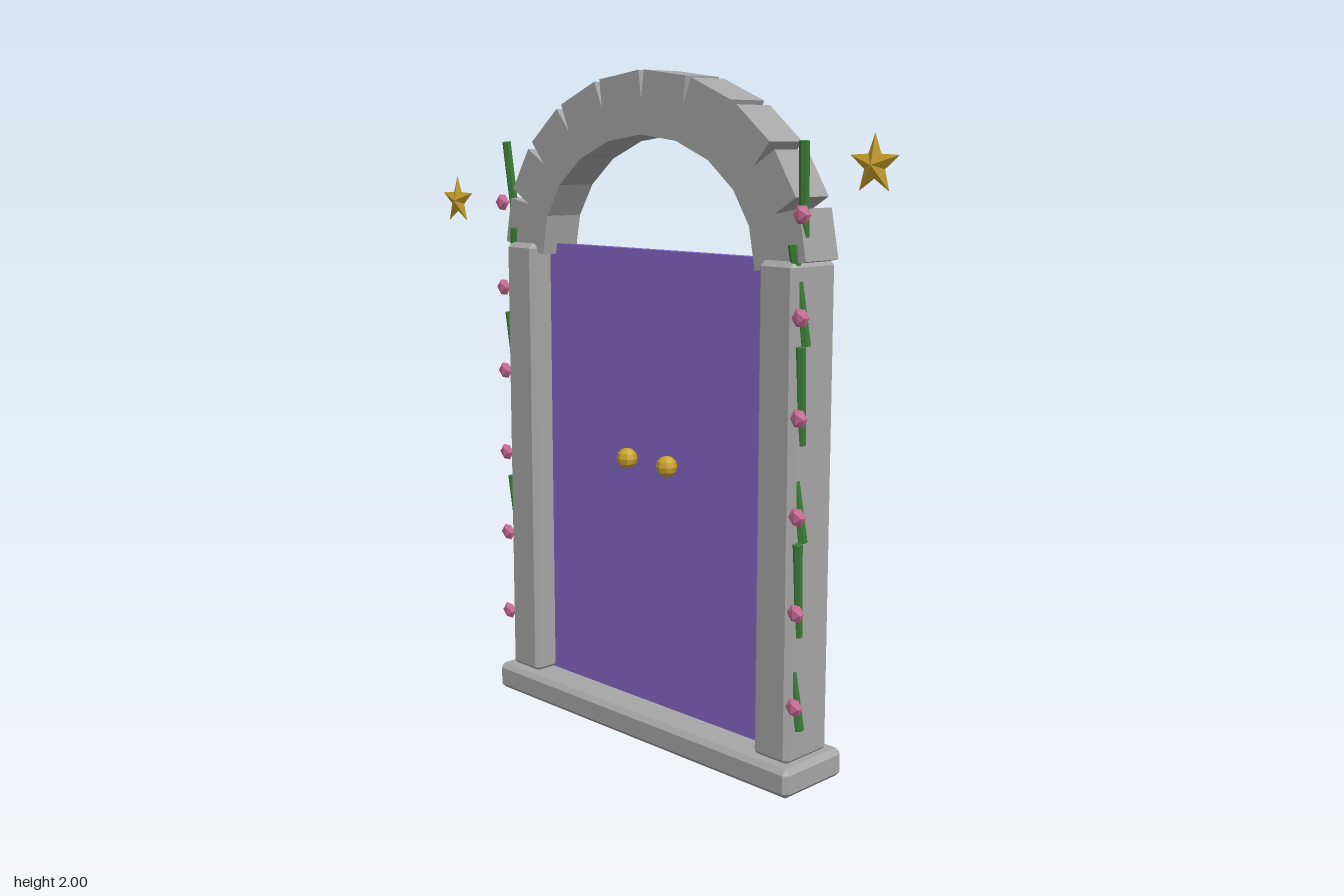
import * as THREE from 'three';
import { ConvexGeometry } from 'three/addons/geometries/ConvexGeometry.js';

// Box with every edge cut by a flat chamfer
function chamferBox(w, h, d, c) {
  const half = [w / 2, h / 2, d / 2];
  const points = [];
  for (const sx of [-1, 1]) for (const sy of [-1, 1]) for (const sz of [-1, 1]) {
    for (let full = 0; full < 3; full++) {
      const p = half.map((v, i) => (i === full ? v : v - c));
      points.push(new THREE.Vector3(p[0] * sx, p[1] * sy, p[2] * sz));
    }
  }
  return new ConvexGeometry(points);
}

// Five-pointed star, ridged to a peak on both faces
function starGeometry(outer, inner, peak) {
  const rim = [];
  for (let i = 0; i < 10; i++) {
    const r = i % 2 ? inner : outer;
    const a = Math.PI / 2 + (i * Math.PI) / 5;
    rim.push([r * Math.cos(a), r * Math.sin(a), 0]);
  }
  const pos = [];
  rim.forEach((p, i) => {
    const q = rim[(i + 1) % 10];
    pos.push(...p, ...q, 0, 0, peak);
    pos.push(...q, ...p, 0, 0, -peak);
  });
  const g = new THREE.BufferGeometry();
  g.setAttribute('position', new THREE.Float32BufferAttribute(pos, 3));
  g.computeVertexNormals();
  return g;
}

export function createModel() {
  const model = new THREE.Group();
  model.name = 'gardenPortal';

  const material = (name, color) => {
    const m = new THREE.MeshStandardMaterial({ color, flatShading: true });
    m.name = name;
    return m;
  };
  const stone = material('stone grey', 0xa6a6a6);
  const purple = material('door purple', 0x8466c4);
  const gold = material('gold', 0xc8a12c);
  const green = material('vine green', 0x3a7d34);
  const pink = material('flower pink', 0xcc6c96);

  const add = (name, geometry, mat, x, y, z) => {
    const mesh = new THREE.Mesh(geometry, mat);
    mesh.name = name;
    mesh.position.set(x, y, z);
    model.add(mesh);
    return mesh;
  };

  // Threshold and door panel
  add('baseStep', chamferBox(1.26, 0.085, 0.25, 0.015), stone, 0, 0.0425, 0);
  add('doorPanel', new THREE.BoxGeometry(0.96, 1.405, 0.03), purple, 0, 0.7825, 0);

  // Arch of ten blocks along a half ellipse
  const rx = 0.525, ry = 0.435, springY = 1.47, count = 10;
  const step = Math.PI / count;
  for (let i = 0; i < count; i++) {
    const a = (i + 0.5) * step;
    const tx = -rx * Math.sin(a), ty = ry * Math.cos(a);
    const length = Math.hypot(tx, ty) * step * 1.02;
    const block = add('archBlock', new THREE.BoxGeometry(length, 0.182, 0.136), stone,
      rx * Math.cos(a), springY + ry * Math.sin(a), 0);
    block.rotation.z = Math.atan2(ty, tx) + Math.PI;
  }

  const pillar = chamferBox(0.132, 1.405, 0.18, 0.015);
  const knob = new THREE.SphereGeometry(0.032, 8, 6);
  const flower = new THREE.IcosahedronGeometry(0.028, 0);
  const star = starGeometry(0.08, 0.034, 0.017);
  const up = new THREE.Vector3(0, 1, 0);

  for (const side of [-1, 1]) {
    const label = side > 0 ? 'left' : 'right';
    add(label + 'Pillar', pillar, stone, side * 0.535, 0.7825, 0);
    add(label + 'Knob', knob, gold, side * 0.085, 0.853, 0.048);
    add(label + 'Star', star, gold, side * 0.85, side > 0 ? 1.74 : 1.61, 0.085);

    // Climbing vine: six stems leaning in and out by turns, each with a flower
    for (let i = 0; i < 6; i++) {
      const y = 0.18 + i * 0.27;
      const leansIn = i % 2 === 0;
      const bottom = new THREE.Vector3(side * (leansIn ? 0.608 : 0.596), y, 0.046);
      const top = new THREE.Vector3(side * (leansIn ? 0.578 : 0.611), y + 0.27, 0.07);
      const dir = top.clone().sub(bottom);
      const mid = top.clone().add(bottom).multiplyScalar(0.5);
      const stem = add(label + 'VineStem', new THREE.CylinderGeometry(0.014, 0.014, dir.length(), 6),
        green, mid.x, mid.y, mid.z);
      stem.quaternion.setFromUnitVectors(up, dir.normalize());
      const bloom = add(label + 'Flower', flower, pink, side * 0.619, 0.26 + i * 0.27, 0.084);
      bloom.scale.z = 0.6;
    }
  }
  return model;
}
